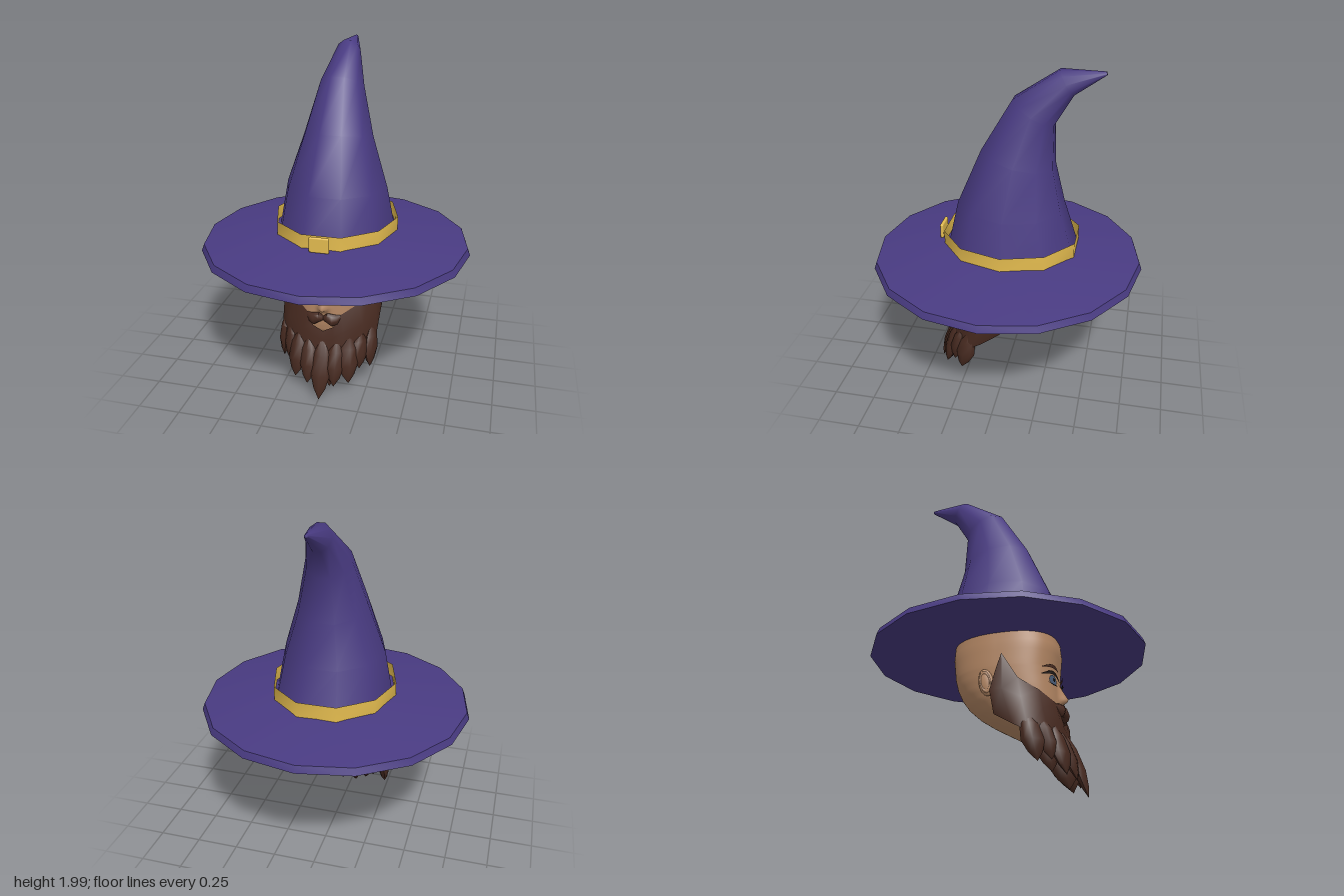
import * as THREE from 'three';
import { toCreasedNormals } from 'three/addons/utils/BufferGeometryUtils.js';
import { RoundedBoxGeometry } from 'three/addons/geometries/RoundedBoxGeometry.js';

const { lerp, clamp, smoothstep } = THREE.MathUtils;

const mat = (name, color, side = THREE.FrontSide) => {
  const m = new THREE.MeshStandardMaterial({ color, side });
  m.name = name;
  return m;
};

// Skin over a stack of cross-sections listed from low to high.
function loft(rings, closed = true) {
  const n = rings[0].length, index = [];
  for (let i = 0; i < rings.length - 1; i++) {
    for (let j = 0; j < (closed ? n : n - 1); j++) {
      const k = (j + 1) % n;
      const a = i * n + j, b = i * n + k, c = a + n, d = b + n;
      index.push(a, c, b, b, c, d);
    }
  }
  const g = new THREE.BufferGeometry();
  g.setAttribute('position', new THREE.Float32BufferAttribute(rings.flat(2), 3));
  g.setIndex(index);
  g.computeVertexNormals();
  return g;
}

const loop = (n, fn) => Array.from({ length: n }, (_, j) => fn((j / n) * Math.PI * 2));
const spow = (v, e) => Math.sign(v) * Math.abs(v) ** e;

// Head sections: y, half width, front z, back z
const HEAD = [
  [0.33, 0.0, 0.17, 0.17], [0.335, 0.06, 0.23, 0.1], [0.355, 0.12, 0.27, 0.06], [0.4, 0.165, 0.295, -0.02],
  [0.44, 0.19, 0.302, -0.09], [0.49, 0.207, 0.305, -0.165], [0.545, 0.221, 0.303, -0.225], [0.6, 0.23, 0.3, -0.264],
  [0.66, 0.236, 0.297, -0.291], [0.72, 0.24, 0.297, -0.306], [0.84, 0.24, 0.31, -0.32],
  [0.94, 0.235, 0.3, -0.312],
];
const POWER = 2.7;

// Depth of the face surface at x, y
function faceZ(x, y) {
  const i = HEAD.findIndex((h) => h[0] > y);
  const t = (y - HEAD[i - 1][0]) / (HEAD[i][0] - HEAD[i - 1][0]);
  const [, w, f, b] = HEAD[i].map((v, k) => lerp(HEAD[i - 1][k], v, t));
  const s = (1 - Math.min(1, Math.abs(x) / w) ** POWER) ** (1 / POWER);
  return (f + b) / 2 + ((f - b) / 2) * s;
}

// Nose as a smooth swelling of the face
const noseBump = (x, y) => 0.05 * Math.exp(-((x / 0.028) ** 2)) *
  (y < 0.555 ? smoothstep(y, 0.515, 0.555) : clamp(1 - (y - 0.555) / 0.1, 0, 1));

// Flat outline laid over the face
function facePlate(points, lift) {
  const g = new THREE.ShapeGeometry(new THREE.Shape(points.map((p) => new THREE.Vector2(...p))));
  const p = g.attributes.position;
  for (let i = 0; i < p.count; i++) p.setZ(i, faceZ(p.getX(i), p.getY(i)) + lift);
  g.computeVertexNormals();
  return g;
}
const oval = (cx, cy, rx, ry) => loop(16, (a) => [cx + rx * Math.cos(a), cy + ry * Math.sin(a)]);

// Tapered arch between x0 and x1
function arch(s, x0, x1, y0, y1, rise, thick) {
  const up = [], low = [];
  for (let i = 0; i <= 8; i++) {
    const t = i / 8, h = Math.sin(Math.PI * t);
    const x = s * (x0 + (x1 - x0) * t), y = y0 + (y1 - y0) * t + rise * h;
    up.push([x, y + thick * (0.2 + 0.8 * h)]);
    low.unshift([x, y]);
  }
  return [...up, ...low];
}

export function createModel() {
  const model = new THREE.Group();
  model.name = 'beardedHeadWithPointedHat';
  const purple = mat('purple felt', 0x493b82);
  const gold = mat('gold', 0xe4bc4f, THREE.DoubleSide);
  const skin = mat('skin', 0xb48764);
  const brown = mat('brown hair', 0x472a20, THREE.DoubleSide);
  const dark = mat('dark lash', 0x1d1715, THREE.DoubleSide);
  const blue = mat('blue iris', 0x4a5d79, THREE.DoubleSide);
  const add = (name, geometry, material, parent = model) => {
    const m = new THREE.Mesh(geometry, material);
    m.name = name;
    parent.add(m);
    return m;
  };

  // Hat brim, hollow underneath
  const brim = [[0, 0.92], [0.34, 0.912], [0.8, 0.84], [0.785, 0.88], [0.37, 0.95], [0, 0.95]];
  add('hatBrim', toCreasedNormals(new THREE.LatheGeometry(brim.map((p) => new THREE.Vector2(...p)), 16), 0.45), purple);

  // Crooked crown: front z, front y, back z, back y, half width
  const crown = [
    [0.337, 0.94, -0.402, 0.94, 0.354], [0.275, 1.22, -0.32, 1.2, 0.3], [0.14, 1.54, -0.265, 1.45, 0.205],
    [-0.03, 1.83, -0.26, 1.7, 0.131], [-0.28, 2.0, -0.36, 1.87, 0.07], [-0.52, 2.0, -0.525, 1.983, 0.012],
    [-0.523, 1.991, -0.523, 1.991, 0],
  ];
  add('hatCrown', loft(crown.map(([zf, yf, zb, yb, w]) => loop(10, (a) => {
    const s = Math.sin(a) / 0.951 / 2;
    return [w * Math.cos(a), (yf + yb) / 2 + (yf - yb) * s, (zf + zb) / 2 + (zf - zb) * s];
  }))), purple);

  // Band and buckle
  add('hatBand', loft([0.94, 1.03].map((y) =>
    loop(10, (a) => [0.368 * Math.cos(a), y, -0.025 + 0.405 * Math.sin(a)]))), gold);
  add('buckle', new RoundedBoxGeometry(0.115, 0.09, 0.02, 2, 0.008), gold).position.set(0, 0.99, 0.395);

  // Head with nose, squarer at the face than at the back
  const sections = HEAD.slice(1).flatMap((h, i) =>
    [0, 0.25, 0.5, 0.75].map((t) => h.map((v, k) => lerp(HEAD[i][k], v, t))));
  sections.push(HEAD[HEAD.length - 1]);
  add('head', loft(sections.map(([y, w, f, b]) => loop(160, (a) => {
    const front = Math.sin(a) >= 0;
    const e = front ? 2 / POWER : 0.93;
    const x = w * spow(Math.cos(a), e);
    return [x, y, (f + b) / 2 + ((f - b) / 2) * spow(Math.sin(a), e) + (front ? noseBump(x, y) : 0)];
  }))), skin);

  // Eyes, brows and ears on both sides
  for (const s of [1, -1]) {
    const side = s > 0 ? 'left' : 'right';
    const cx = s * 0.105;
    add(side + 'Iris', facePlate(oval(cx, 0.643, 0.034, 0.03), 0.009), blue);
    add(side + 'Pupil', facePlate(oval(cx, 0.645, 0.01, 0.011), 0.013), dark);
    add(side + 'UpperLash', facePlate(arch(s, 0.035, 0.182, 0.645, 0.66, 0.02, 0.022), 0.015), dark);
    add(side + 'LowerLash', facePlate(arch(s, 0.065, 0.15, 0.62, 0.624, -0.01, 0.007), 0.012), dark);
    add(side + 'Brow', facePlate(arch(s, 0.045, 0.178, 0.707, 0.703, 0.008, 0.02), 0.012), brown);

    const ear = new THREE.Group();
    ear.name = side + 'Ear';
    ear.position.set(s * 0.236, 0.622, -0.053);
    ear.rotation.set(-0.2, 0, 0);
    model.add(ear);
    add('earLobe', new THREE.SphereGeometry(1, 16, 12), skin, ear).scale.set(0.02, 0.08, 0.043);
    const rim = new THREE.TorusGeometry(0.03, 0.006, 6, 20);
    rim.rotateY(Math.PI / 2);
    rim.scale(1, 1.85, 0.9);
    rim.translate(s * 0.013, 0, 0);
    add('earRim', rim, skin, ear);
  }

  // Beard shell columns, centre to sideburn: jaw line, hem, middle, top edge
  const columns = [
    [[0, 0.34, 0.25], [0, 0.28, 0.35], [0, 0.36, 0.34], [0, 0.41, 0.325]],
    [[0.05, 0.34, 0.24], [0.06, 0.28, 0.345], [0.065, 0.38, 0.335], [0.06, 0.44, 0.322]],
    [[0.1, 0.35, 0.21], [0.12, 0.29, 0.33], [0.12, 0.42, 0.325], [0.1, 0.515, 0.3]],
    [[0.14, 0.375, 0.17], [0.2, 0.3, 0.29], [0.225, 0.45, 0.26], [0.19, 0.565, 0.235]],
    [[0.17, 0.4, 0.12], [0.29, 0.31, 0.2], [0.285, 0.5, 0.16], [0.242, 0.63, 0.13]],
    [[0.19, 0.43, 0.07], [0.285, 0.36, 0.11], [0.308, 0.55, 0.06], [0.255, 0.78, 0.04]],
    [[0.2, 0.46, 0.02], [0.26, 0.43, 0.0], [0.305, 0.55, -0.01], [0.275, 0.68, 0.015]],
  ];
  const across = [...columns.slice(1).reverse(),
    ...columns.map((c) => c.map(([x, y, z]) => [-x, y, z]))];
  add('beard', toCreasedNormals(loft([0, 1, 2, 3].map((r) => across.map((c) => c[r])), false), 1), brown);

  // Pointed locks: base, tip, half width, turn towards the side
  const locks = [
    [[0, 0.36, 0.33], [0, 0.01, 0.44], 0.06, 0],
    [[0.085, 0.36, 0.32], [0.08, 0.085, 0.4], 0.056, 0.2],
    [[0.15, 0.38, 0.295], [0.163, 0.1, 0.365], 0.062, 0.5],
    [[0.21, 0.4, 0.25], [0.215, 0.17, 0.3], 0.056, 0.9],
    [[0.262, 0.42, 0.18], [0.268, 0.155, 0.24], 0.062, 1.3],
    [[0.04, 0.35, 0.27], [0.045, 0.05, 0.35], 0.08, 1.35],
    [[0.14, 0.36, 0.22], [0.13, 0.13, 0.28], 0.06, 1.0],
  ];
  const lockSteps = [[0, 0], [0.18, 0.6], [0.42, 1], [0.75, 0.8], [1, 0.15]];
  for (const [base, tip, w, yaw] of locks) {
    for (const s of base[0] === 0 ? [1] : [1, -1]) {
      const rings = lockSteps.map(([t, r]) => loop(8, (a) => {
        const u = w * r * Math.cos(a), v = 0.6 * w * r * Math.sin(a), turn = s * yaw;
        return [
          s * lerp(tip[0], base[0], t) + u * Math.cos(turn) + v * Math.sin(turn),
          lerp(tip[1], base[1], t),
          lerp(tip[2], base[2], t) - u * Math.sin(turn) + v * Math.cos(turn),
        ];
      }));
      add('beardLock', toCreasedNormals(loft(rings), 1.05), brown);
    }
  }

  // Moustache: x, y, z, radius from middle to curled tip
  const whisker = [[0, 0.49, 0.312, 0.014], [0.025, 0.495, 0.317, 0.032], [0.055, 0.482, 0.313, 0.04],
    [0.085, 0.484, 0.302, 0.03], [0.114, 0.508, 0.288, 0.003]];
  for (const s of [1, -1]) {
    const rings = whisker.map(([x, y, z, r]) =>
      loop(8, (a) => [s * x, y + r * Math.cos(a), z + s * -0.75 * r * Math.sin(a)]));
    add(s > 0 ? 'leftMoustache' : 'rightMoustache', toCreasedNormals(loft(rings), 0.9), brown);
  }

  return model;
}
